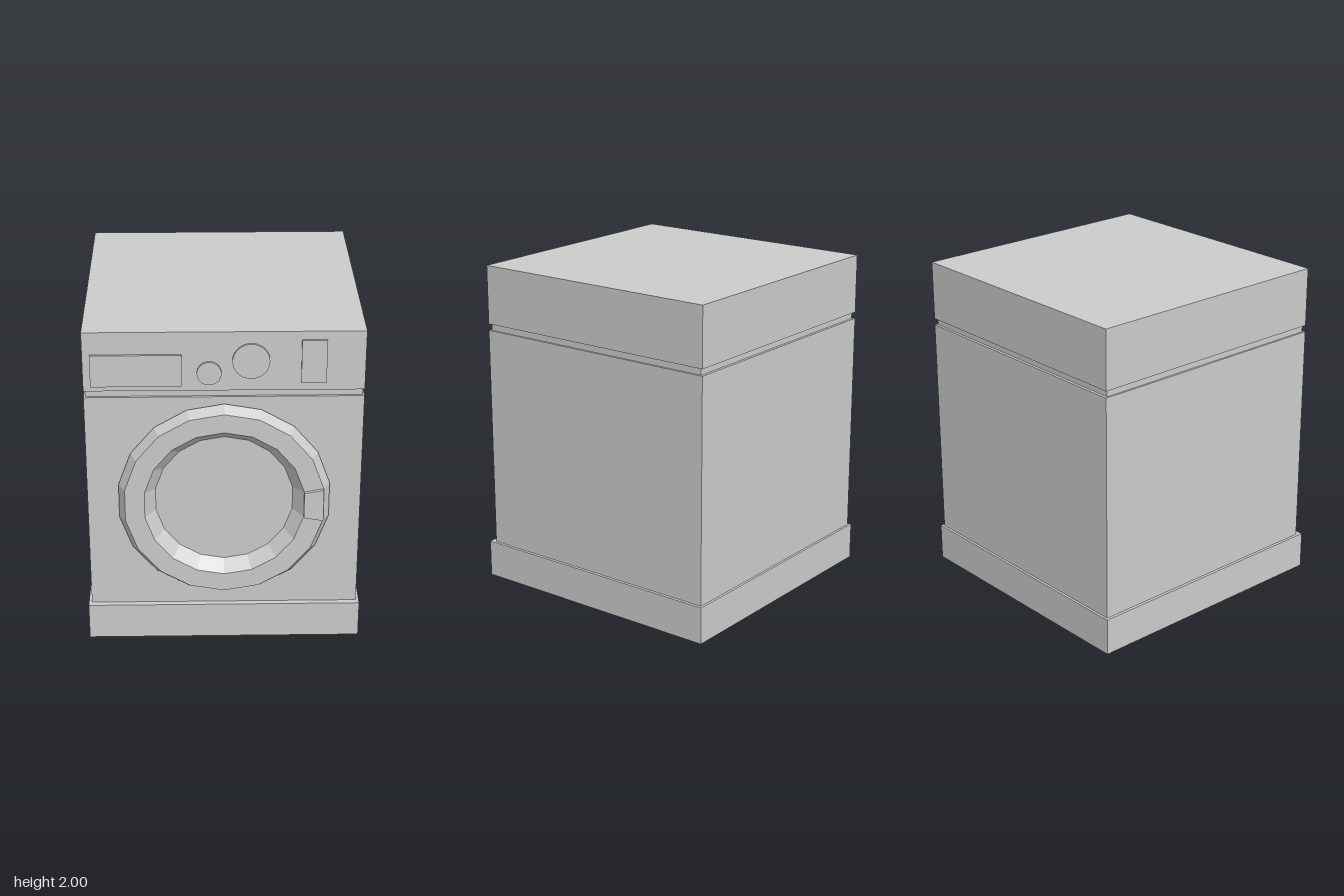
import * as THREE from 'three';

const FRONT = 0.76; // z of the cabinet's front face
const DOOR_Y = 0.94;
const SIDES = 18;

export function createModel() {
  const model = new THREE.Group();
  model.name = 'washingMachine';
  const grey = new THREE.MeshStandardMaterial({ color: 0xcccccc });
  const faceted = new THREE.MeshStandardMaterial({ color: 0xcccccc, flatShading: true });

  const add = (name, geometry, material = grey, parent = model) => {
    const mesh = new THREE.Mesh(geometry, material);
    mesh.name = name;
    parent.add(mesh);
    return mesh;
  };

  // Box given by its limits on each axis
  const box = (name, x0, x1, y0, y1, z0, z1) =>
    add(name, new THREE.BoxGeometry(x1 - x0, y1 - y0, z1 - z0))
      .position.set((x0 + x1) / 2, (y0 + y1) / 2, (z0 + z1) / 2);

  // Cabinet, stacked from the floor up
  box('plinth', -0.815, 0.815, 0, 0.227, -0.855, 0.795);
  box('cabinet', -0.797, 0.797, 0.227, 1.6, -0.84, FRONT);
  box('groove', -0.785, 0.785, 1.6, 1.64, -0.823, 0.745);
  box('controlHousing', -0.797, 0.797, 1.64, 2, -0.84, FRONT);

  // Control panel: drawer, two round knobs and a switch
  const panelZ = 0.775;
  box('detergentDrawer', -0.755, -0.24, 1.672, 1.865, FRONT - 0.01, panelZ);
  box('powerSwitch', 0.435, 0.578, 1.69, 1.95, FRONT - 0.01, panelZ);
  for (const [name, x, y, r] of [['smallKnob', -0.085, 1.75, 0.07], ['programKnob', 0.152, 1.823, 0.106]]) {
    const knob = new THREE.CylinderGeometry(r, r, 0.025, 32).rotateX(Math.PI / 2);
    add(name, knob).position.set(x, y, panelZ - 0.0125);
  }

  // Door: a faceted ring sloping in to the glass at the cabinet face
  const door = new THREE.Group();
  door.name = 'door';
  door.position.set(0, DOOR_Y, FRONT);
  model.add(door);

  const profile = [[0.607, 0], [0.623, 0.018], [0.585, 0.08], [0.47, 0.08], [0.405, 0]]
    .map(([r, z]) => new THREE.Vector2(r, z));
  add('doorRing', new THREE.LatheGeometry(profile, SIDES).rotateX(Math.PI / 2), faceted, door);
  add('doorGlass', new THREE.CircleGeometry(0.41, SIDES, Math.PI / 2), grey, door).position.z = 0.001;

  // Handle: one raised segment of the ring's face
  const half = Math.PI / SIDES;
  const corners = [[0.47, -half], [0.585, -half], [0.585, half], [0.47, half]]
    .map(([r, a]) => new THREE.Vector2(r * Math.cos(a), r * Math.sin(a)));
  const handle = new THREE.ExtrudeGeometry(new THREE.Shape(corners), { depth: 0.02, bevelEnabled: false });
  add('doorHandle', handle, faceted, door).position.z = 0.08;

  return model;
}
